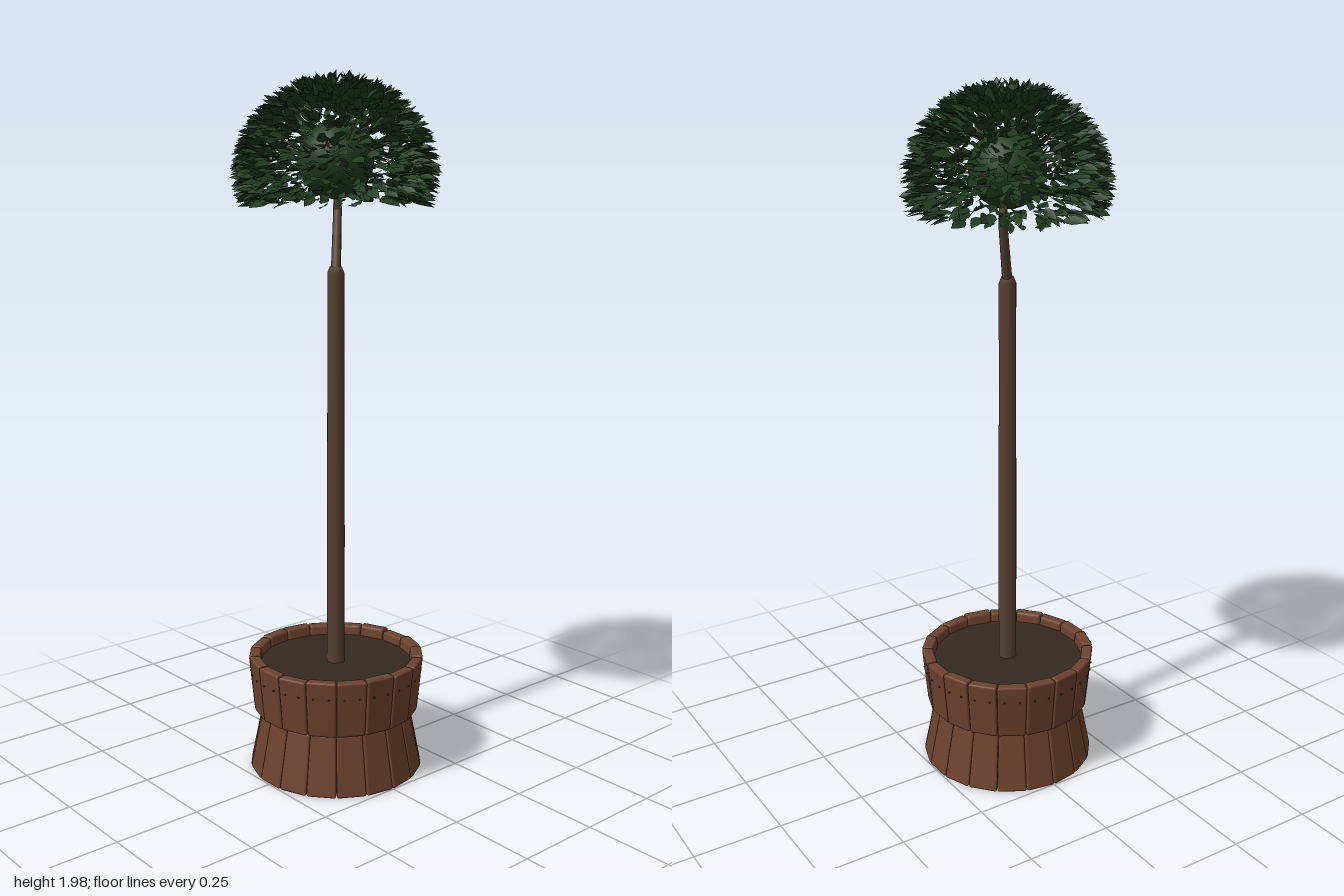
import * as THREE from 'three';
import { mergeGeometries } from 'three/addons/utils/BufferGeometryUtils.js';
import { RoundedBoxGeometry } from 'three/addons/geometries/RoundedBoxGeometry.js';

const STAVES = 18;

function makeRandom(seed) {
  return () => {
    seed = (seed * 1664525 + 1013904223) % 4294967296;
    return seed / 4294967296;
  };
}

function material(color, options = {}) {
  return new THREE.MeshStandardMaterial({ color, ...options });
}

function addMesh(parent, name, geometry, mat) {
  const mesh = new THREE.Mesh(geometry, mat);
  mesh.name = name;
  parent.add(mesh);
  return mesh;
}

// Ring of rounded wooden staves leaning from radius r0 at y0 to r1 at y1
function staveRing(y0, y1, r0, r1, random) {
  const parts = [];
  const thickness = 0.032;
  for (let i = 0; i < STAVES; i++) {
    const angle = (i / STAVES) * Math.PI * 2;
    const height = y1 - y0 - random() * 0.006;
    const width = 2 * Math.max(r0, r1) * Math.tan(Math.PI / STAVES) * 0.985;
    const stave = new RoundedBoxGeometry(width, height, thickness, 2, 0.007);
    const p = stave.attributes.position;
    for (let k = 0; k < p.count; k++) {
      const t = THREE.MathUtils.clamp(p.getY(k) / height + 0.5, 0, 1);
      const r = THREE.MathUtils.lerp(r0, r1, t);
      const z = p.getZ(k);
      const radius = r - thickness / 2 + z;
      p.setXYZ(k, p.getX(k) * radius / Math.max(r0, r1), p.getY(k) + y0 + height / 2, radius);
    }
    stave.computeVertexNormals();
    parts.push(stave.rotateY(angle));
  }
  return mergeGeometries(parts);
}

// Pointed leaf along +z with a folded midrib and drooping tip
function leafGeometry() {
  const rows = [[0, 0.1], [0.2, 0.75], [0.45, 1], [0.75, 0.62], [1, 0.02]];
  const pos = [], index = [];
  for (const [t, w] of rows) {
    const droop = -0.14 * t * t;
    for (const s of [-1, 0, 1]) pos.push(s * w * 0.5, droop + (s ? 0.12 * w : 0), t);
  }
  for (let r = 0; r < rows.length - 1; r++) {
    for (let c = 0; c < 2; c++) {
      const a = r * 3 + c;
      index.push(a, a + 3, a + 1, a + 1, a + 3, a + 4);
    }
  }
  const g = new THREE.BufferGeometry();
  g.setAttribute('position', new THREE.Float32BufferAttribute(pos, 3));
  g.setIndex(index);
  g.computeVertexNormals();
  return g;
}

// Dome of leaves, all pointing outwards
function crownGeometry(random) {
  const leaf = leafGeometry(), leaves = [];
  const count = 1350, top = 0.995, bottom = -0.32;
  const jitter = (a) => (random() - 0.5) * a;
  for (let i = 0; i < count; i++) {
    const ny = THREE.MathUtils.lerp(top, bottom, (i + 0.5) / count);
    const ring = Math.sqrt(1 - ny * ny);
    const angle = i * 2.39996 + jitter(0.15);
    const n = new THREE.Vector3(Math.cos(angle) * ring, ny, Math.sin(angle) * ring);
    const depth = 1 - 0.17 * random() * random();
    const tip = new THREE.Vector3(n.x * 0.29, n.y * 0.275, n.z * 0.29).multiplyScalar(depth);
    tip.y += 1.71;
    // small opening near the top
    if (ny > 0.5 && Math.hypot((tip.x + 0.035) / 0.05, (tip.z + 0.01) / 0.06) < 1) continue;
    const dir = new THREE.Vector3(n.x + jitter(0.5), n.y * 0.55 + jitter(0.45), n.z + jitter(0.5)).normalize();
    const length = 0.05 + random() * 0.016;
    const width = length * 0.5;
    const m = new THREE.Matrix4().lookAt(dir, new THREE.Vector3(), new THREE.Vector3(0, 1, 0));
    m.multiply(new THREE.Matrix4().makeRotationZ(jitter(1.7)));
    m.scale(new THREE.Vector3(width, width, length));
    m.setPosition(tip.addScaledVector(dir, -length));
    leaves.push(leaf.clone().applyMatrix4(m));
  }
  return mergeGeometries(leaves);
}

// Straight tapered limb between two points
function limb(from, to, r0, r1, sides = 10) {
  const axis = to.clone().sub(from);
  const g = new THREE.CylinderGeometry(r1, r0, axis.length(), sides);
  g.applyQuaternion(new THREE.Quaternion().setFromUnitVectors(new THREE.Vector3(0, 1, 0), axis.normalize()));
  return g.translate((from.x + to.x) / 2, (from.y + to.y) / 2, (from.z + to.z) / 2);
}

export function createModel() {
  const model = new THREE.Group();
  model.name = 'pottedTree';
  const random = makeRandom(7);
  const V = (x, y, z) => new THREE.Vector3(x, y, z);

  const wood = material(0x6b422c);
  const bark = material(0x55402f);
  const soil = material(0x352a20);
  const green = material(0x1f3d1f, { side: THREE.DoubleSide });

  // Planter
  const planter = new THREE.Group();
  planter.name = 'planter';
  model.add(planter);
  addMesh(planter, 'lowerStaves', staveRing(0, 0.178, 0.25, 0.215, random), wood);
  addMesh(planter, 'upperStaves', staveRing(0.175, 0.343, 0.236, 0.252, random), wood);
  const liner = [[0, 0.02], [0.225, 0.02], [0.192, 0.175], [0.21, 0.19], [0.222, 0.312]];
  addMesh(planter, 'liner', new THREE.LatheGeometry(liner.map(([x, y]) => new THREE.Vector2(x, y)), 36), wood);
  addMesh(planter, 'soil', new THREE.CircleGeometry(0.223, 36).rotateX(-Math.PI / 2).translate(0, 0.312, 0), soil);

  // Nail heads, two on each upper stave
  const nails = [];
  for (let i = 0; i < STAVES; i++) {
    for (const x of [-0.022, 0.022]) {
      const nail = new THREE.CylinderGeometry(0.003, 0.003, 0.004, 6).rotateX(Math.PI / 2);
      nails.push(nail.translate(x, 0.29, 0.248).rotateY((i / STAVES) * Math.PI * 2));
    }
  }
  addMesh(planter, 'nails', mergeGeometries(nails), soil);

  // Trunk with a chamfered top and a leaning upper branch
  const profile = [[0.026, 0.3], [0.026, 0.7], [0.0245, 1.1], [0.024, 1.44], [0.017, 1.458], [0, 1.46]];
  addMesh(model, 'trunk', new THREE.LatheGeometry(profile.map(([x, y]) => new THREE.Vector2(x, y)), 14), bark);
  const fork = V(-0.042, 1.61, -0.042);
  addMesh(model, 'branch', mergeGeometries([
    limb(V(0, 1.44, 0), fork, 0.014, 0.012),
    limb(fork, V(-0.03, 1.72, -0.03), 0.012, 0.01),
  ]), bark);

  // Thin twigs reaching into the crown
  const twigs = [];
  for (let i = 0; i < 10; i++) {
    const a = i * 2.4, r = 0.13 + 0.05 * random();
    twigs.push(limb(V(0, 1.73, 0), V(Math.cos(a) * r, 1.72 + 0.13 * random(), Math.sin(a) * r), 0.006, 0.003, 6));
  }
  addMesh(model, 'twigs', mergeGeometries(twigs), bark);

  // Crown
  addMesh(model, 'crownCore', new THREE.SphereGeometry(0.105, 20, 14).translate(0, 1.745, 0), green);
  addMesh(model, 'leaves', crownGeometry(random), green);
  return model;
}
